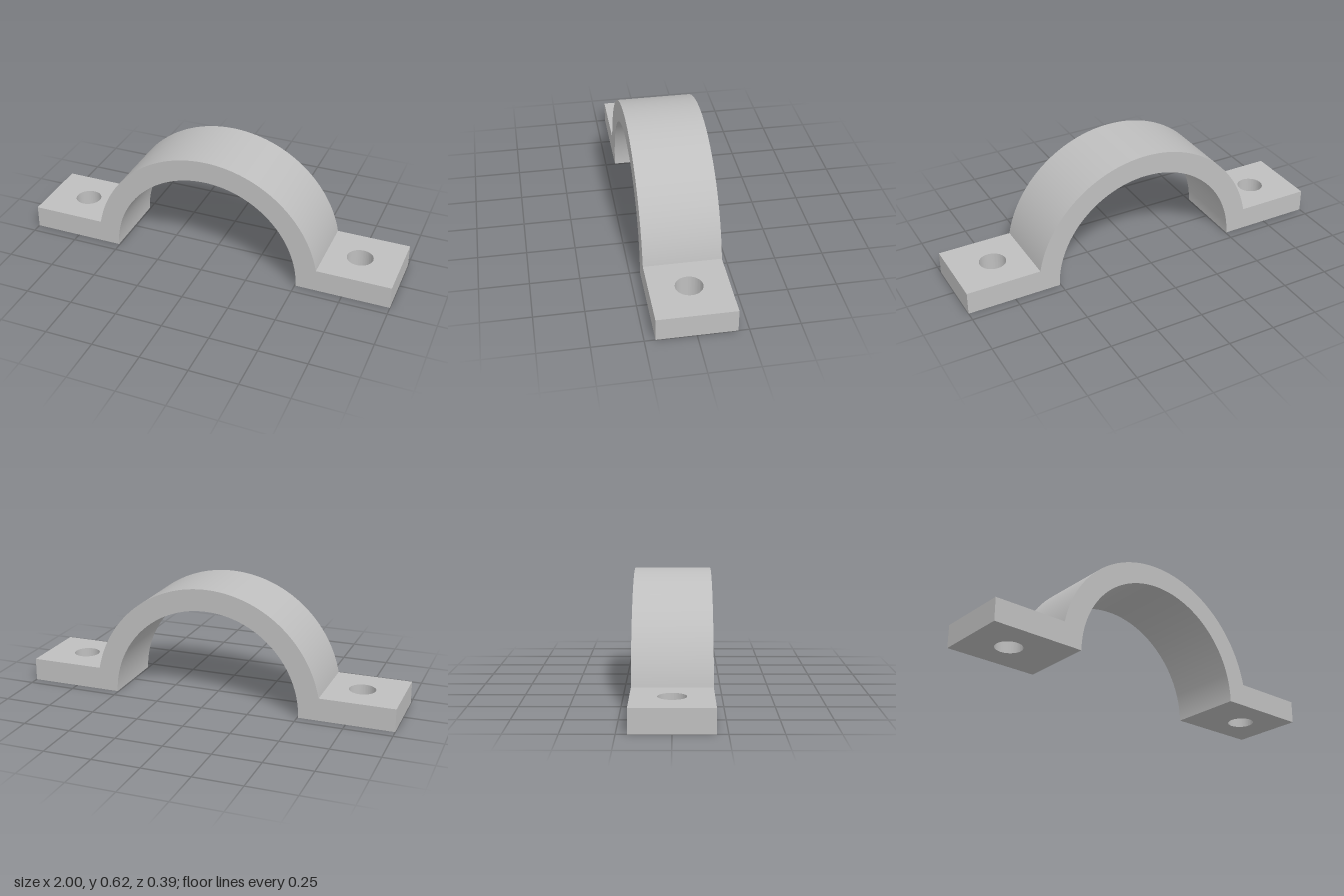
import * as THREE from 'three';
import { toCreasedNormals } from 'three/addons/utils/BufferGeometryUtils.js';

const OUTER = 0.62, INNER = 0.505, HALF_DEPTH = 0.197, FLANGE = 0.12;
const HOLE_X = 0.785, HOLE_R = 0.069;
const JOINT = Math.sqrt(OUTER ** 2 - FLANGE ** 2); // where the arch meets a flange

// Drops the hidden walls where arch and flanges join, then smooths the curves.
function finish(geometry) {
  const p = geometry.getAttribute('position');
  const kept = [];
  for (let i = 0; i < p.count; i += 3) {
    const hidden = [0, 1, 2].every((k) =>
      Math.abs(Math.abs(p.getX(i + k)) - JOINT) < 1e-5 && p.getY(i + k) < FLANGE + 1e-5);
    if (hidden) continue;
    for (let k = 0; k < 3; k++) kept.push(p.getX(i + k), p.getY(i + k), p.getZ(i + k));
  }
  const open = new THREE.BufferGeometry();
  open.setAttribute('position', new THREE.Float32BufferAttribute(kept, 3));
  return toCreasedNormals(open, Math.PI / 7);
}

// Half-ring band whose feet run straight down beside the flanges
function archGeometry() {
  const angle = Math.asin(FLANGE / OUTER);
  const shape = new THREE.Shape();
  shape.moveTo(INNER, 0);
  shape.lineTo(JOINT, 0);
  shape.lineTo(JOINT, FLANGE);
  shape.absarc(0, 0, OUTER, angle, Math.PI - angle, false);
  shape.lineTo(-JOINT, 0);
  shape.lineTo(-INNER, 0);
  shape.absarc(0, 0, INNER, Math.PI, 0, true);
  const geometry = new THREE.ExtrudeGeometry(shape, {
    depth: HALF_DEPTH * 2, bevelEnabled: false, curveSegments: 64,
  });
  geometry.translate(0, 0, -HALF_DEPTH);
  return finish(geometry);
}

// Flat foot plate with a vertical bolt hole
function flangeGeometry() {
  const shape = new THREE.Shape();
  shape.moveTo(JOINT, -HALF_DEPTH);
  shape.lineTo(1, -HALF_DEPTH);
  shape.lineTo(1, HALF_DEPTH);
  shape.lineTo(JOINT, HALF_DEPTH);
  shape.closePath();
  const hole = new THREE.Path();
  hole.absarc(HOLE_X, 0, HOLE_R, 0, Math.PI * 2, true);
  shape.holes.push(hole);
  const geometry = new THREE.ExtrudeGeometry(shape, {
    depth: FLANGE, bevelEnabled: false, curveSegments: 40,
  });
  geometry.rotateX(-Math.PI / 2);
  return finish(geometry);
}

export function createModel() {
  const model = new THREE.Group();
  model.name = 'pipeClamp';
  const steel = new THREE.MeshStandardMaterial({ color: 0xbfbfbf });
  steel.name = 'grey steel';

  const arch = new THREE.Mesh(archGeometry(), steel);
  arch.name = 'arch';
  model.add(arch);

  // The two flanges are the same plate turned half way round
  const plate = flangeGeometry();
  [['leftFlange', 0], ['rightFlange', Math.PI]].forEach(([name, turn]) => {
    const flange = new THREE.Mesh(plate, steel);
    flange.name = name;
    flange.rotation.y = turn;
    model.add(flange);
  });
  return model;
}
